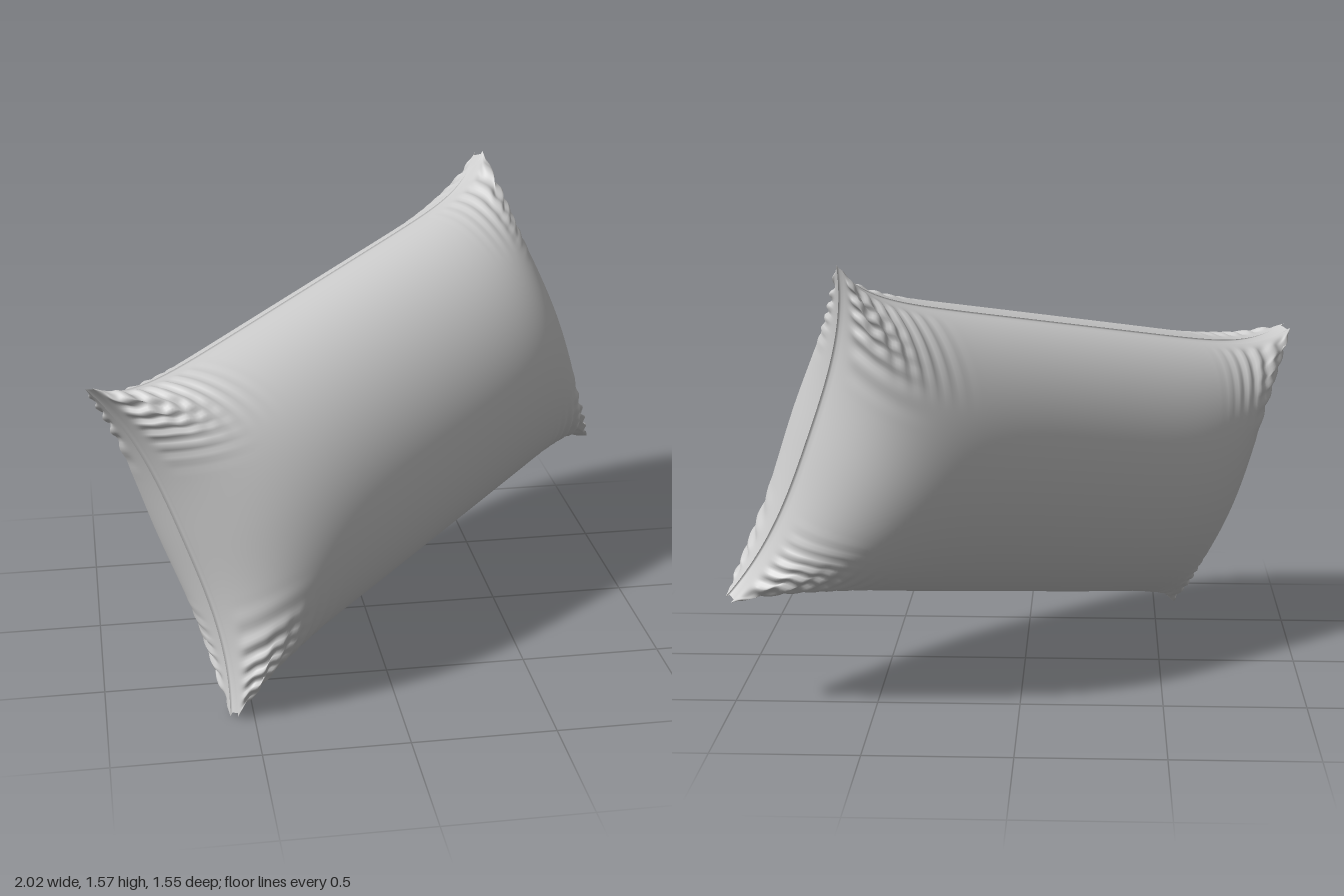
import * as THREE from 'three';

const HALF_BAND = 0.02;   // half width of the seam band
const PUFF = 0.405;       // half thickness of the stuffing
const NU = 160, NV = 112; // grid along the long and short sides

const ease = (a, b, x) => THREE.MathUtils.smoothstep(x, a, b);

// Point on one cushion face; s, t run -1..1 along the long and short sides
function cushionPoint(s, t, side) {
  const as = Math.abs(s), at = Math.abs(t);
  // outline pinched between pointed corners
  let u = s * (0.94 + 0.11 * at ** 3);
  let v = t * (0.52 + 0.105 * as ** 8);
  let h = PUFF * Math.sqrt(Math.max(0, (1 - as ** 5) * (1 - t * t)));
  // pleats that run across the seams close to the corners
  const longPleat = 0.014 * Math.sin(95 * s + 3 * Math.sin(9 * s + side)) *
    ease(0.55, 0.85, as) * ease(0.55, 0.95, at) * (1 - ease(0.96, 1, as));
  const shortPleat = 0.009 * Math.sin(60 * t + 3 * Math.sin(8 * t + side)) *
    ease(0.35, 0.8, at) * ease(0.75, 0.97, as) * (1 - ease(0.95, 1, at));
  // seam outline itself stays shared by both faces
  const free = 1 - ease(0.985, 1, Math.max(as, at));
  v *= 1 + longPleat * free;
  u *= 1 + shortPleat * free;
  h *= 1 + 2 * (longPleat + shortPleat) * free;
  return [u, v, side * (h + HALF_BAND)];
}

// Grid positions crowd toward the edges so the roll into the seam is smooth
const spread = (i, n) => (i === 0 ? -1 : i === n ? 1 : Math.sin((i / n - 0.5) * Math.PI));

function makeGeometry(positions, index) {
  const g = new THREE.BufferGeometry();
  g.setAttribute('position', new THREE.Float32BufferAttribute(positions, 3));
  g.setIndex(index);
  g.computeVertexNormals();
  return g;
}

function faceGeometry(side) {
  const pos = [], index = [];
  for (let j = 0; j <= NV; j++)
    for (let i = 0; i <= NU; i++)
      pos.push(...cushionPoint(spread(i, NU), spread(j, NV), side));
  for (let j = 0; j < NV; j++)
    for (let i = 0; i < NU; i++) {
      const a = j * (NU + 1) + i, b = a + 1, c = a + NU + 1, d = c + 1;
      if (side > 0) index.push(a, b, d, a, d, c);
      else index.push(a, d, b, a, c, d);
    }
  return makeGeometry(pos, index);
}

// Narrow, slightly sunken band that joins the two faces all round
function bandGeometry() {
  const ring = [];
  for (let i = 0; i < NU; i++) ring.push([spread(i, NU), -1]);
  for (let j = 0; j < NV; j++) ring.push([1, spread(j, NV)]);
  for (let i = NU; i > 0; i--) ring.push([spread(i, NU), 1]);
  for (let j = NV; j > 0; j--) ring.push([-1, spread(j, NV)]);
  const section = [[1, 1], [0.988, 0.9], [0.988, -0.9], [1, -1]]; // outline scale, depth
  const pos = [], index = [], n = section.length;
  for (const [s, t] of ring) {
    const [u, v] = cushionPoint(s, t, 1);
    for (const [k, d] of section) pos.push(u * k, v * k, d * HALF_BAND);
  }
  for (let r = 0; r < ring.length; r++)
    for (let k = 0; k < n - 1; k++) {
      const a = r * n + k, b = ((r + 1) % ring.length) * n + k;
      index.push(a, a + 1, b + 1, a, b + 1, b);
    }
  return makeGeometry(pos, index);
}

export function createModel() {
  const model = new THREE.Group();
  model.name = 'pillow';
  const material = new THREE.MeshStandardMaterial({ color: 0xcccccc, side: THREE.DoubleSide });

  const cushion = new THREE.Group();
  cushion.name = 'cushion';
  const add = (name, geometry) => {
    const mesh = new THREE.Mesh(geometry, material);
    mesh.name = name;
    cushion.add(mesh);
  };
  add('frontFace', faceGeometry(1));
  add('backFace', faceGeometry(-1));
  add('seamBand', bandGeometry());

  // Tilted pose, balanced on one corner
  const long = new THREE.Vector3(0.746, 0.187, -0.639).normalize();
  const normal = new THREE.Vector3(0.571, 0.313, 0.759).normalize();
  const short = normal.clone().cross(long).normalize();
  normal.crossVectors(long, short);
  cushion.quaternion.setFromRotationMatrix(new THREE.Matrix4().makeBasis(long, short, normal));
  cushion.position.set(0, 0.785, 0);
  model.add(cushion);
  return model;
}
